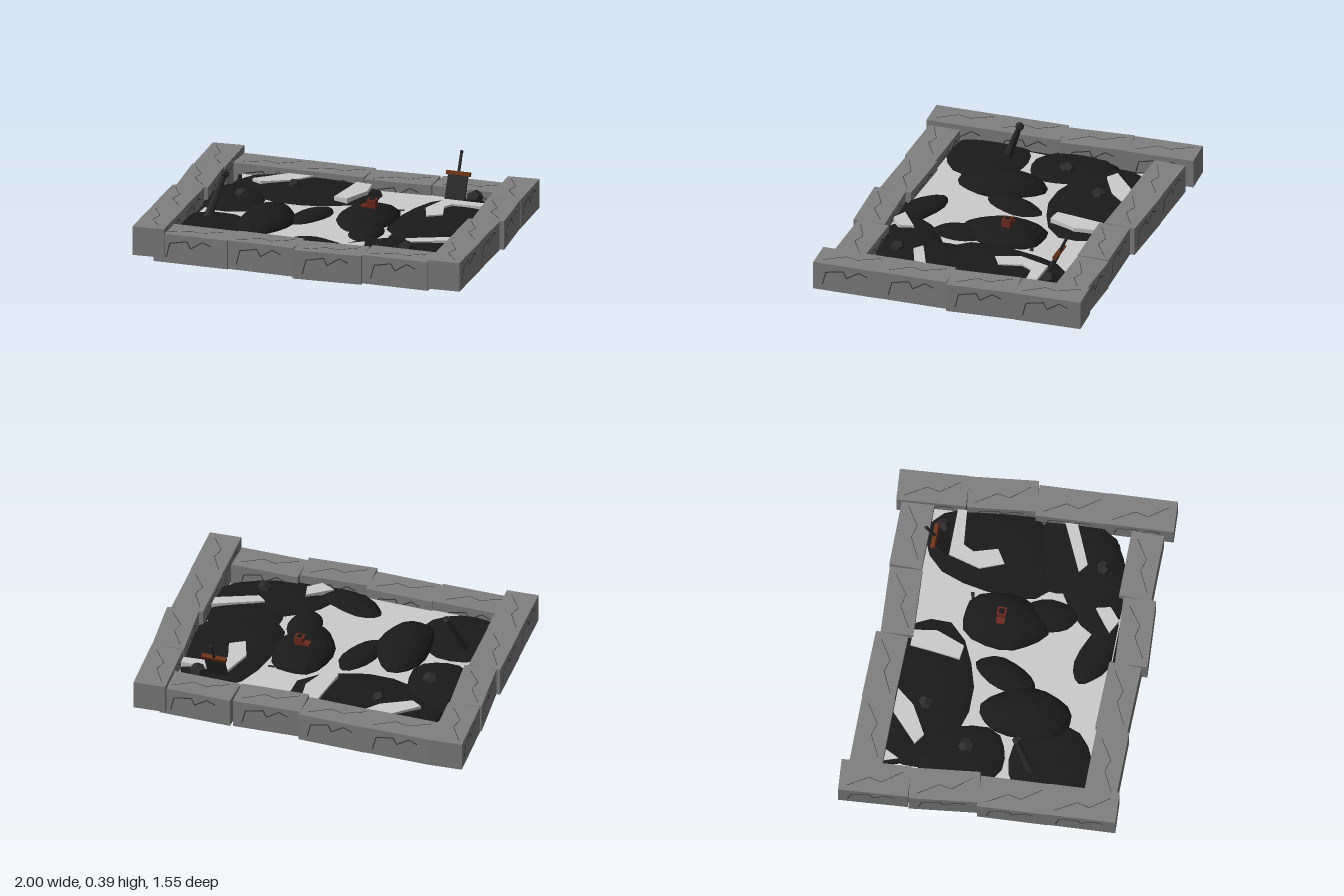
import * as THREE from 'three';

const mat = (color) => new THREE.MeshStandardMaterial({ color, flatShading: true });

export function createModel() {
  const model = new THREE.Group();
  const stone = mat(0x808080), crack = mat(0x3a3a3a), black = mat(0x1a1a1a);
  const ash = mat(0xcccccc), coal = mat(0x2c2c2c), brown = mat(0x6b3318), red = mat(0x6e2a20);

  const add = (parent, name, geo, material, x = 0, y = 0, z = 0) => {
    const m = new THREE.Mesh(geo, material);
    m.name = name;
    m.position.set(x, y, z);
    parent.add(m);
    return m;
  };

  // horizontal slab from x,z outline points
  const slab = (name, pts, y, h, material) => {
    const shape = new THREE.Shape(pts.map(([x, z]) => new THREE.Vector2(x, -z)));
    const geo = new THREE.ExtrudeGeometry(shape, { depth: h, bevelEnabled: false });
    geo.rotateX(-Math.PI / 2);
    return add(model, name, geo, material, 0, y, 0);
  };

  // thin zigzag line on a stone face, lying in the xy plane
  const zigzag = (parent, pts, w) => {
    const g = new THREE.Group();
    g.name = 'crack';
    for (let i = 1; i < pts.length; i++) {
      const [ax, ay] = pts[i - 1], [bx, by] = pts[i];
      const len = Math.hypot(bx - ax, by - ay);
      const s = add(g, 'crackSegment', new THREE.BoxGeometry(len, w, 0.002), crack, (ax + bx) / 2, (ay + by) / 2, 0);
      s.rotation.z = Math.atan2(by - ay, bx - ax);
    }
    parent.add(g);
    return g;
  };

  // border stones: centre x, z, length, turn about y, base height
  const W = 0.18, H = 0.165;
  const sideCrack = [[-0.14, -0.05], [-0.12, 0.03], [-0.02, 0.05], [0, 0.01], [0.07, 0.055], [0.12, 0.035]];
  const topCrack = [[-0.15, -0.06], [-0.03, 0.0], [0.04, -0.02], [0.15, 0.05]];
  const block = (name, x, z, len, turn, y) => {
    const g = new THREE.Group();
    g.name = name;
    g.position.set(x, y + H / 2, z);
    g.rotation.y = turn;
    add(g, 'stone', new THREE.BoxGeometry(len, H, W), stone);
    zigzag(g, sideCrack, 0.006).position.z = W / 2;
    const back = zigzag(g, sideCrack, 0.006);
    back.position.z = -W / 2;
    back.rotation.y = Math.PI;
    const top = zigzag(g, topCrack, 0.003);
    top.position.y = H / 2;
    top.rotation.x = -Math.PI / 2;
    model.add(g);
  };
  [[-0.615, -0.642, 0.39, 0], [-0.237, -0.642, 0.385, -0.015], [0.153, -0.624, 0.385, 0.055], [0.56, -0.64, 0.41, 0]]
    .forEach(([x, z, l, t]) => block('backStone', x, z, l, t, 0));
  [[-0.585, 0.657, 0.43, 0], [-0.178, 0.65, 0.385, -0.015], [0.212, 0.672, 0.39, 0.065], [0.6, 0.633, 0.385, 0]]
    .forEach(([x, z, l, t]) => block('frontStone', x, z, l, t, 0));
  const column = (name, list) => list.forEach(([x, z, tilt]) => block(name, x, z, 0.385, tilt - Math.PI / 2, 0.03));
  column('leftStone', [[0.825, -0.575, 0.075], [0.86, -0.19, 0.118], [0.87, 0.195, 0.055], [0.893, 0.575, 0.055]]);
  column('rightStone', [[-0.9, -0.575, 0.075], [-0.87, -0.19, 0.118], [-0.858, 0.195, 0.055], [-0.835, 0.575, 0.055]]);

  // dark bed with a light ash layer on it
  const bed = [[-0.79, -0.58], [0.78, -0.58], [0.8, -0.1], [0.79, 0.38], [0.72, 0.49], [0.5, 0.56],
    [0.4, 0.6], [-0.65, 0.6], [-0.74, 0.52], [-0.78, 0.4], [-0.78, -0.25], [-0.73, -0.4]];
  slab('bed', bed, 0.08, 0.02, black);
  slab('ashLayer', bed.map(([x, z]) => [x * 0.96, z * 0.96]), 0.1, 0.006, ash);

  // low dark mounds: centre x, z, radius x, z, top height, turn
  const mounds = [
    [-0.32, -0.45, 0.44, 0.33, 0.135, 0], [-0.35, 0.17, 0.155, 0.26, 0.18, 0.05],
    [-0.15, 0.02, 0.09, 0.19, 0.14, -0.35], [0.16, -0.05, 0.17, 0.245, 0.172, 0],
    [0.24, 0.19, 0.1, 0.16, 0.14, 0.1], [-0.66, -0.13, 0.2, 0.25, 0.14, 0.3],
    [-0.62, 0.36, 0.25, 0.25, 0.13, 0.2], [0.56, -0.16, 0.27, 0.42, 0.135, -0.1],
    [0.52, 0.38, 0.38, 0.19, 0.135, 0.35], [0.08, 0.49, 0.22, 0.1, 0.14, -0.35],
    [0.6, 0.2, 0.24, 0.2, 0.13, 0],
  ];
  mounds.forEach(([cx, cz, rx, rz, top, turn], k) => {
    const geo = new THREE.SphereGeometry(1, 18, 6, 0, Math.PI * 2, 0, Math.PI / 2);
    const p = geo.attributes.position;
    for (let i = 0; i < p.count; i++) {
      const a = Math.atan2(p.getZ(i), p.getX(i));
      const r = 1 + 0.04 * Math.sin(3 * a + k) + 0.03 * Math.sin(5 * a + 2 * k);
      const x = p.getX(i) * rx * r, z = p.getZ(i) * rz * r;
      p.setXYZ(i,
        THREE.MathUtils.clamp(cx + x * Math.cos(turn) + z * Math.sin(turn), -0.79, 0.79),
        0.095 + p.getY(i) * (top - 0.095),
        THREE.MathUtils.clamp(cz - x * Math.sin(turn) + z * Math.cos(turn), -0.6, 0.57));
    }
    geo.computeVertexNormals();
    add(model, 'mound', geo, black);
  });

  // pale shards lying on the mounds
  [
    [[-0.64, -0.4], [-0.48, -0.55], [-0.34, -0.55], [-0.42, -0.45], [-0.58, -0.36]],
    [[-0.08, -0.53], [0.01, -0.53], [0.03, -0.4], [-0.03, -0.24], [-0.11, -0.25]],
    [[0.48, -0.42], [0.75, -0.42], [0.75, -0.37], [0.55, -0.35], [0.52, -0.29], [0.56, -0.16], [0.48, -0.11], [0.43, -0.24]],
    [[0.51, 0.3], [0.79, 0.17], [0.79, 0.24], [0.56, 0.34]],
    [[0.19, 0.53], [0.32, 0.43], [0.34, 0.51], [0.27, 0.57]],
  ].forEach((pts) => slab('shard', pts, 0.1, 0.042, ash));

  // loose lumps on top and poking out underneath
  const lump = (x, y, z, r, i) => {
    const m = add(model, 'lump', new THREE.DodecahedronGeometry(r, 0), coal, x, y, z);
    m.rotation.set(i, 2 * i, 0.5 * i);
  };
  [[-0.39, 0.13, -0.385, 0.042], [-0.6, 0.13, -0.12, 0.046], [0.63, 0.145, -0.48, 0.048], [0.56, 0.13, 0.43, 0.042],
    [0.63, 0.075, -0.08, 0.045], [0.28, 0.067, -0.25, 0.048], [0.37, 0.075, 0.35, 0.045], [-0.1, 0.067, 0.22, 0.045]]
    .forEach((a, i) => lump(...a, i));

  // leaning club with a knobbed tip
  const club = new THREE.Group();
  club.name = 'club';
  const from = new THREE.Vector3(-0.675, 0.08, 0.265), to = new THREE.Vector3(-0.597, 0.345, 0.16);
  const dir = to.clone().sub(from);
  club.position.copy(from);
  club.quaternion.setFromUnitVectors(new THREE.Vector3(0, 1, 0), dir.clone().normalize());
  add(club, 'shaft', new THREE.CylinderGeometry(0.013, 0.029, dir.length(), 7), coal, 0, dir.length() / 2, 0);
  add(club, 'knob', new THREE.DodecahedronGeometry(0.025, 0), coal, 0, dir.length(), 0);
  add(club, 'spike', new THREE.ConeGeometry(0.012, 0.035, 5), coal, 0, dir.length() + 0.025, 0);
  model.add(club);

  // buried blade with crossguard and grip
  const sword = new THREE.Group();
  sword.name = 'buriedBlade';
  sword.position.set(0.525, 0.268, -0.505);
  sword.rotation.x = -0.43;
  add(sword, 'blade', new THREE.BoxGeometry(0.115, 0.19, 0.014), coal, 0, -0.095, 0);
  add(sword, 'guard', new THREE.BoxGeometry(0.14, 0.022, 0.024), brown);
  add(sword, 'grip', new THREE.CylinderGeometry(0.008, 0.009, 0.13, 8), coal, 0, 0.06, 0);
  add(sword, 'pommel', new THREE.IcosahedronGeometry(0.011, 0), coal, 0, 0.12, 0);
  model.add(sword);

  // small red box with a dark inset on the central mound
  add(model, 'redBox', new THREE.BoxGeometry(0.05, 0.05, 0.05), red, 0.18, 0.19, -0.068);
  add(model, 'boxInset', new THREE.BoxGeometry(0.03, 0.004, 0.03), black, 0.18, 0.2145, -0.068);
  add(model, 'redChip', new THREE.BoxGeometry(0.04, 0.02, 0.045), red, 0.14, 0.17, -0.068);

  return model;
}
